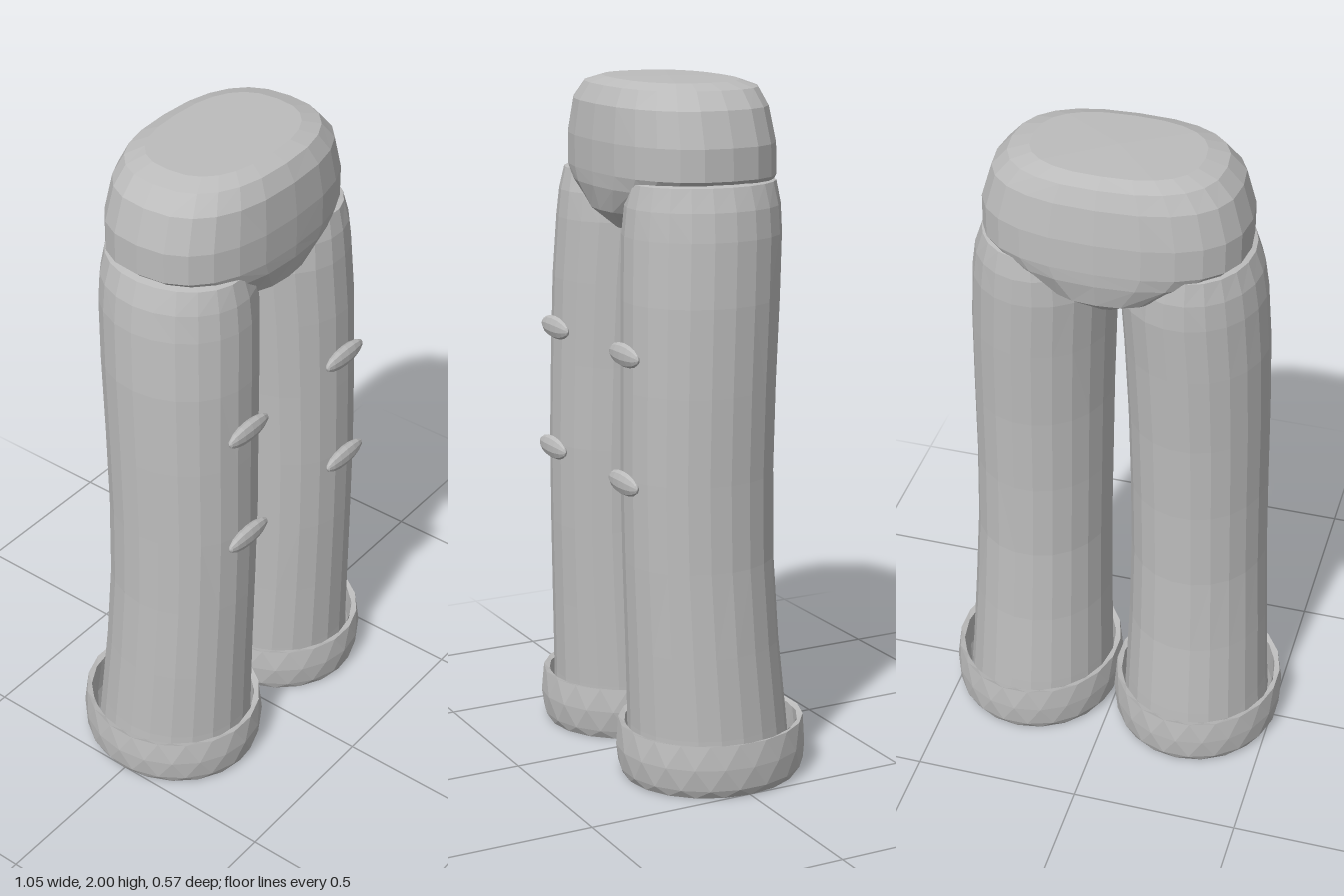
import * as THREE from 'three';

// Skin through elliptical cross-sections: [y, xMin, xMax, zMin, zMax]
function loft(rings, sides, power = 2, twist = 0) {
  const pos = [], idx = [];
  const bend = (v) => Math.sign(v) * Math.abs(v) ** (2 / power);
  rings.forEach(([y, x0, x1, z0, z1], r) => {
    for (let i = 0; i < sides; i++) {
      const a = ((i + twist * (r % 2)) / sides) * Math.PI * 2;
      pos.push((x0 + x1) / 2 + bend(Math.cos(a)) * (x1 - x0) / 2, y,
        (z0 + z1) / 2 + bend(Math.sin(a)) * (z1 - z0) / 2);
    }
  });
  for (let r = 0; r < rings.length - 1; r++) {
    for (let i = 0; i < sides; i++) {
      const j = (i + 1) % sides;
      const a = r * sides + i, b = r * sides + j, c = a + sides, d = b + sides;
      if (r % 2) idx.push(a, c, d, a, d, b);
      else idx.push(a, c, b, b, c, d);
    }
  }
  const geo = new THREE.BufferGeometry();
  geo.setAttribute('position', new THREE.Float32BufferAttribute(pos, 3));
  geo.setIndex(idx);
  geo.computeVertexNormals();
  return geo;
}

export function createModel() {
  const group = new THREE.Group();
  const fabric = new THREE.MeshStandardMaterial({
    name: 'greyFabric', color: 0xbcbcbc, flatShading: true, side: THREE.DoubleSide,
  });
  const add = (name, geo, parent) => {
    const mesh = new THREE.Mesh(geo, fabric);
    mesh.name = name;
    parent.add(mesh);
    return mesh;
  };

  // Rounded hip block, closed above and below
  add('hips', loft([
    [1.57, 0, 0, 0, 0],
    [1.575, -0.07, 0.07, -0.17, 0.16],
    [1.63, -0.2, 0.2, -0.235, 0.22],
    [1.70, -0.33, 0.33, -0.25, 0.24],
    [1.74, -0.375, 0.375, -0.252, 0.243],
    [1.83, -0.375, 0.375, -0.25, 0.243],
    [1.93, -0.345, 0.345, -0.235, 0.232],
    [1.98, -0.30, 0.30, -0.215, 0.205],
    [1.997, -0.24, 0.24, -0.17, 0.16],
    [2.0, 0, 0, 0, 0],
  ], 24, 2.5), group);

  for (const side of [1, -1]) {
    const leg = new THREE.Group();
    leg.name = side > 0 ? 'leftLeg' : 'rightLeg';
    group.add(leg);
    // Mirror the cross-sections rather than the mesh
    const mirror = (rings) => rings.map(([y, a, b, c, d]) => (side > 0 ? [y, a, b, c, d] : [y, -b, -a, c, d]));

    // Trouser leg, open at the hem and tucked into the hips
    add('trouserLeg', loft(mirror([
      [0.07, 0.03, 0.48, -0.238, 0.242],
      [0.16, 0.032, 0.473, -0.23, 0.242],
      [0.40, 0.038, 0.46, -0.205, 0.247],
      [0.65, 0.04, 0.447, -0.19, 0.253],
      [0.90, 0.036, 0.441, -0.19, 0.256],
      [1.15, 0.03, 0.438, -0.198, 0.252],
      [1.40, 0.02, 0.432, -0.213, 0.247],
      [1.58, 0.01, 0.42, -0.224, 0.238],
      [1.66, 0.02, 0.408, -0.222, 0.23],
      [1.725, 0.05, 0.385, -0.21, 0.215],
      [1.735, 0.1, 0.34, -0.16, 0.16],
    ]), 22), leg);

    // Loose cuff band with a thin wall
    add('cuff', loft(mirror([
      [0.155, 0.02, 0.5, -0.262, 0.255],
      [0.16, 0.004, 0.515, -0.278, 0.272],
      [0.09, -0.003, 0.523, -0.285, 0.28],
      [0.025, 0.004, 0.517, -0.28, 0.272],
      [0, 0.016, 0.503, -0.266, 0.26],
      [0.004, 0.032, 0.487, -0.25, 0.244],
      [0.05, 0.02, 0.5, -0.262, 0.256],
      [0.155, 0.02, 0.5, -0.262, 0.255],
    ]), 20, 2, 0.5), leg);

    // Two long buttons on the front
    for (const [y, x, z] of [[1.255, 0.227, 0.258], [0.89, 0.235, 0.266]]) {
      const geo = new THREE.SphereGeometry(1, 10, 8).rotateZ(Math.PI / 2);
      const button = add('button', geo, leg);
      button.scale.set(0.088, 0.034, 0.019);
      button.position.set(side * x, y, z);
    }
  }
  return group;
}
